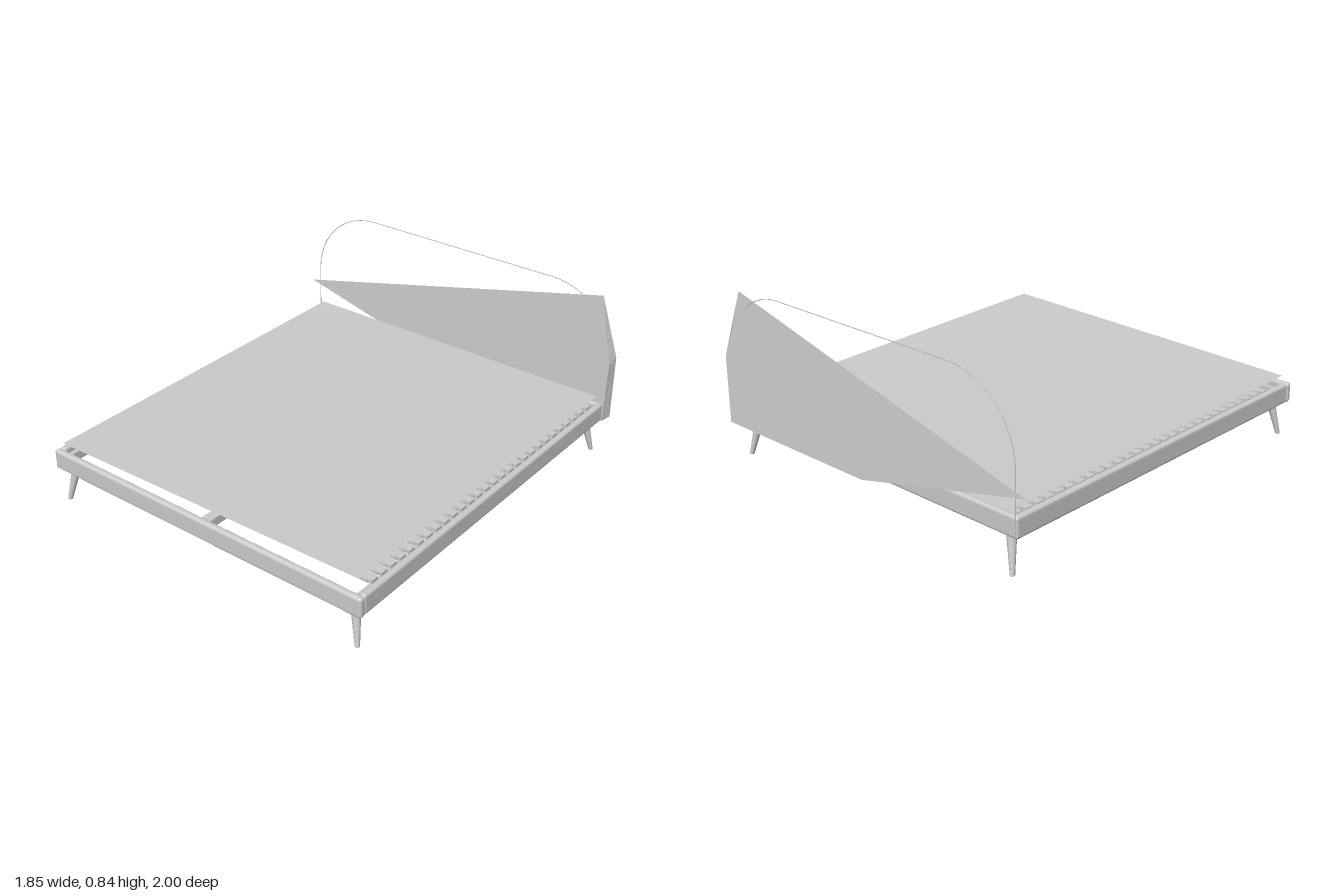
import * as THREE from 'three';
import { RoundedBoxGeometry } from 'three/addons/geometries/RoundedBoxGeometry.js';

export function createModel() {
  const model = new THREE.Group();
  const mat = new THREE.MeshStandardMaterial({ color: 0xcccccc });
  const sheetMat = new THREE.MeshStandardMaterial({ color: 0xcccccc, side: THREE.DoubleSide });
  const CX = 0.025; // middle of the bed frame

  const add = (name, geometry, x = 0, y = 0, z = 0, material = mat) => {
    const mesh = new THREE.Mesh(geometry, material);
    mesh.name = name;
    mesh.position.set(x, y, z);
    model.add(mesh);
    return mesh;
  };
  const box = (name, w, h, d, x, y, z) => add(name, new THREE.BoxGeometry(w, h, d), x, y, z);
  const rounded = (name, w, h, d, x, y, z) =>
    add(name, new RoundedBoxGeometry(w, h, d, 4, 0.014), x, y, z);

  // Outer frame
  rounded('frontRail', 1.77, 0.1, 0.034, CX, 0.22, 0.983);
  rounded('backRail', 1.74, 0.1, 0.03, CX, 0.22, -0.925);
  for (const s of [-1, 1]) {
    rounded('sideRail', 0.034, 0.1, 1.91, CX + s * 0.866, 0.22, 0.015);
    // Slat holders inside the side rails
    box('slatHolder', 0.025, 0.03, 1.86, CX + s * 0.836, 0.225, 0.02);
  }
  box('frontLedge', 1.66, 0.02, 0.025, CX, 0.225, 0.953);

  // Middle support beam
  box('middleBeam', 0.05, 0.04, 1.86, CX, 0.21, 0.02);

  // Slats across the frame
  const slat = new THREE.BoxGeometry(1.63, 0.012, 0.048);
  const count = 28;
  for (let i = 0; i < count; i++) {
    const z = -0.88 + (i * 1.72) / (count - 1);
    add('slat', slat, CX, 0.246, z);
    for (const s of [-1, 1]) box('slatCap', 0.035, 0.018, 0.04, CX + s * 0.818, 0.248, z);
  }

  // Tapered legs: the corner legs splay outward
  const addLeg = (name, x, z, dx, dz) => {
    const geometry = new THREE.CylinderGeometry(0.023, 0.011, 0.18, 16);
    const p = geometry.attributes.position;
    for (let i = 0; i < p.count; i++) {
      const t = 0.5 - p.getY(i) / 0.18;
      p.setX(i, p.getX(i) + dx * t);
      p.setZ(i, p.getZ(i) + dz * t);
    }
    geometry.computeVertexNormals();
    add(name, geometry, x, 0.09, z);
  };
  for (const sx of [-1, 1]) {
    addLeg('frontLeg', CX + sx * 0.812, 0.935, sx * 0.035, 0.033);
    addLeg('backLeg', CX + sx * 0.812, -0.895, sx * 0.035, -0.033);
  }
  addLeg('middleLeg', CX, 0.025, 0, 0);

  // Polygon sheet through a ring of corners
  const sheet = (name, ring) => {
    const index = [];
    for (let i = 1; i < ring.length - 1; i++) index.push(0, i, i + 1);
    const geometry = new THREE.BufferGeometry();
    geometry.setAttribute('position', new THREE.Float32BufferAttribute(ring.flat(), 3));
    geometry.setIndex(index);
    geometry.computeVertexNormals();
    add(name, geometry, 0, 0, 0, sheetMat);
  };

  // Mattress sheet, raised at one front corner
  sheet('mattressSheet', [
    [-0.825, 0.303, 0.97], [0.875, 0.342, 0.97], [0.875, 0.298, -0.93], [-0.825, 0.296, -0.93],
  ]);

  // Slanted headboard: front and back skins with a rim on the tall side
  const tip = [-0.93, 0.385, -0.967];
  const peak = [0.84, 0.82, -0.957];
  const front = [[0, 0.17, -0.942], [0.91, 0.17, -0.938], [0.915, 0.48, -0.942], [0.875, 0.65, -0.95]];
  const back = [[0, 0.17, -0.992], [0.92, 0.17, -0.999], [0.92, 0.5, -0.999], [0.88, 0.65, -0.98]];
  sheet('headboardFront', [tip, ...front, peak]);
  sheet('headboardBack', [peak, ...back.slice().reverse(), tip]);
  for (let i = 0; i < 3; i++) sheet('headboardRim', [front[i], back[i], back[i + 1], front[i + 1]]);
  sheet('headboardRim', [front[3], back[3], peak]);
  sheet('headboardRim', [tip, back[0], front[0]]);

  // Thin arched outline above the headboard
  const arch = new THREE.CurvePath();
  const corner = (cx, from, to) => {
    const points = [];
    for (let i = 0; i <= 12; i++) {
      const a = from + ((to - from) * i) / 12;
      points.push(new THREE.Vector3(cx + 0.36 * Math.cos(a), 0.477 + 0.36 * Math.sin(a), -0.96));
    }
    return points;
  };
  const path = [
    new THREE.Vector3(-0.87, 0.18, -0.96),
    ...corner(-0.51, Math.PI, Math.PI / 2),
    ...corner(0.56, Math.PI / 2, 0),
    new THREE.Vector3(0.92, 0.18, -0.96),
  ];
  for (let i = 0; i < path.length - 1; i++) arch.add(new THREE.LineCurve3(path[i], path[i + 1]));
  add('headboardPiping', new THREE.TubeGeometry(arch, 160, 0.002, 5));

  return model;
}
